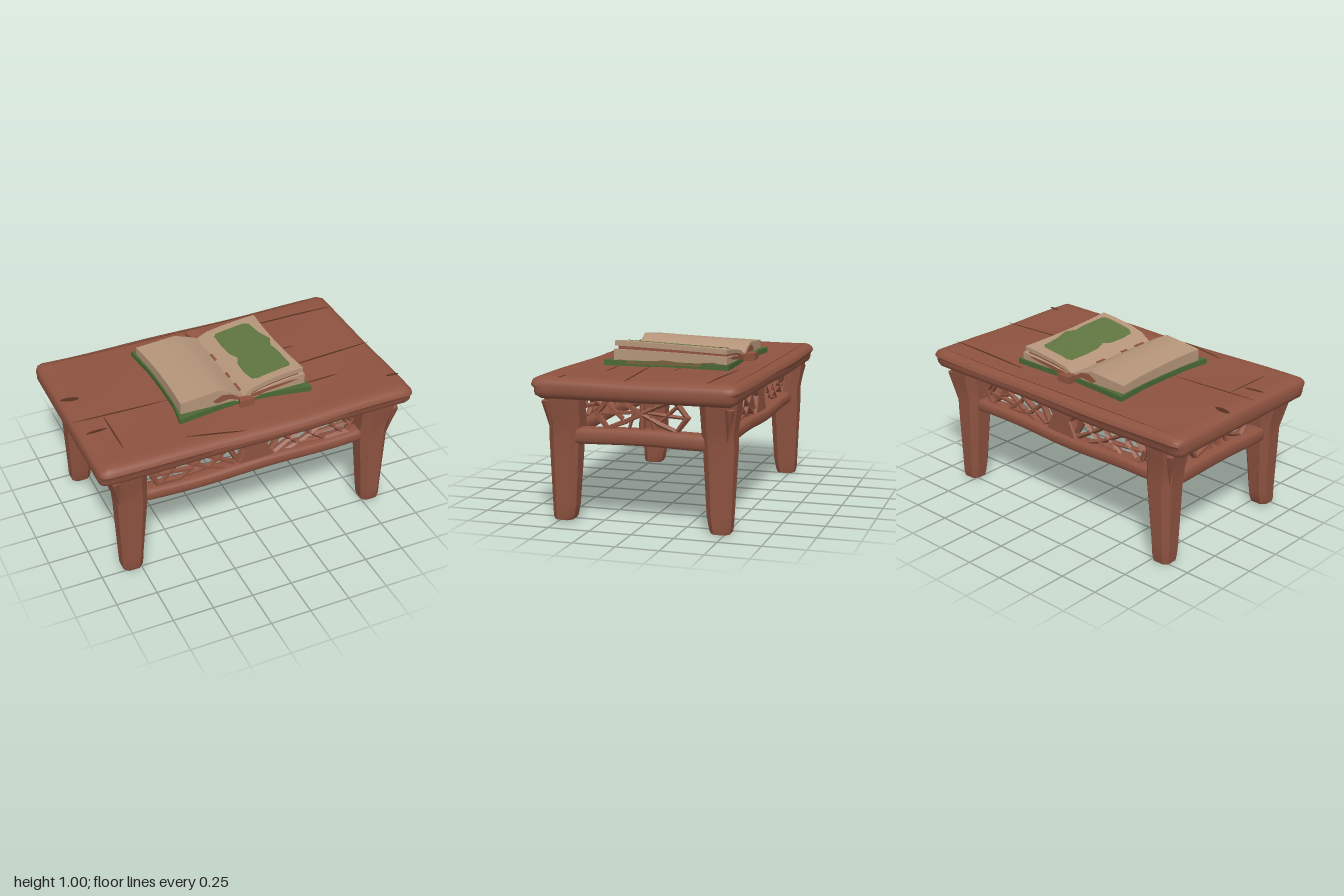
import * as THREE from 'three';
import { mergeGeometries, toCreasedNormals } from 'three/addons/utils/BufferGeometryUtils.js';

const mat = (name, color, side = THREE.FrontSide) => {
  const m = new THREE.MeshStandardMaterial({ color, side });
  m.name = name;
  return m;
};

// Moves every vertex by a rule, then recomputes soft normals with sharp creases
function bend(geometry, rule, crease = 0.75) {
  const p = geometry.attributes.position, v = new THREE.Vector3();
  for (let i = 0; i < p.count; i++) {
    rule(v.fromBufferAttribute(p, i));
    p.setXYZ(i, v.x, v.y, v.z);
  }
  geometry.computeVertexNormals();
  return toCreasedNormals(geometry, crease);
}

// Box with rounded edges and an uneven, hand-hewn surface
function beam(w, h, d, segs, r, warp) {
  const half = new THREE.Vector3(w / 2 - r, h / 2 - r, d / 2 - r), low = half.clone().negate(), c = new THREE.Vector3();
  return bend(new THREE.BoxGeometry(w, h, d, ...segs), v => {
    c.copy(v).clamp(low, half);
    v.sub(c).setLength(r).add(c);
    warp(v);
  });
}

// Chamfered-square column through rings of [y, x0, x1, z0, z1]
function column(rings) {
  const pos = [], idx = [], k = 0.55;
  const outline = [[1, -k], [1, k], [k, 1], [-k, 1], [-1, k], [-1, -k], [-k, -1], [k, -1]];
  for (const [y, x0, x1, z0, z1] of rings)
    for (const [a, b] of outline) pos.push((x0 + x1 + a * (x1 - x0)) / 2, y, (z0 + z1 + b * (z1 - z0)) / 2);
  for (let r = 0; r < rings.length - 1; r++)
    for (let i = 0; i < 8; i++) {
      const a = r * 8 + i, b = r * 8 + (i + 1) % 8;
      idx.push(a, a + 8, b, b, a + 8, b + 8);
    }
  const t = (rings.length - 1) * 8;
  for (let i = 1; i < 7; i++) idx.push(0, i, i + 1, t, t + i + 1, t + i);
  const g = new THREE.BufferGeometry();
  g.setAttribute('position', new THREE.Float32BufferAttribute(pos, 3));
  g.setIndex(idx);
  return toCreasedNormals(g, 0.7);
}

// Faceted stick between two points of a panel
function stick(x0, y0, x1, y1, r = 0.015) {
  const len = Math.hypot(x1 - x0, y1 - y0);
  const g = new THREE.CylinderGeometry(r * 0.8, r, len + r, 5);
  g.scale(1, 1, 1.5);
  g.rotateZ(Math.atan2(y1 - y0, x1 - x0) - Math.PI / 2);
  g.translate((x0 + x1) / 2, (y0 + y1) / 2, 0);
  return g;
}
const chain = (pts, r) => pts.slice(1).map((p, i) => stick(...pts[i], ...p, r));

// Height of the open pages across x, and their slope along z
const pageRise = [[-0.4, 0.962], [-0.28, 0.975], [-0.15, 0.988], [-0.06, 0.945], [0, 0.908],
  [0.06, 0.95], [0.15, 0.975], [0.28, 0.995], [0.4, 1.005]];
function riseAt(x) {
  const i = Math.max(1, pageRise.findIndex(p => p[0] >= x));
  const [a, b] = [pageRise[i - 1], pageRise[i]];
  return a[1] + (b[1] - a[1]) * (x - a[0]) / (b[0] - a[0]);
}
const slope = (y, z) => y - 0.03 * (0.31 - z) / 0.69 * THREE.MathUtils.clamp((y - 0.885) / 0.1, 0, 1);
const topY = (x, z) => 0.855 + 0.005 * Math.sin(3 * x - 1) + 0.003 * Math.sin(5 * x + 7 * z);

export function createModel() {
  const model = new THREE.Group();
  const wood = mat('wood', 0x8e5340), crackWood = mat('dark wood', 0x55301f, THREE.DoubleSide);
  const paper = mat('paper', 0xb5957a), coverGreen = mat('cover green', 0x4a6834);
  const inkGreen = mat('page green', 0x5f7540, THREE.DoubleSide), olive = mat('olive', 0x75623b, THREE.DoubleSide);
  const stain = mat('brown stain', 0x91543f, THREE.DoubleSide);
  const add = (name, geometry, material, parent = model) => {
    const m = new THREE.Mesh(geometry, material);
    m.name = name;
    parent.add(m);
    return m;
  };

  // Table top
  add('tableTop', beam(2, 0.126, 1.22, [40, 6, 28], 0.05, v => {
    if (v.y > 0) v.y += topY(v.x, v.z) - 0.063;
    else {
      v.y += 0.795 + 0.006 * Math.sin(2 * v.x);
      v.z *= 0.97;
    }
    v.z += 0.004 * Math.sin(6 * v.x);
  }), wood);

  // Plank seams and cracks: [x0, z0, x1, z1, width]
  const cracks = [[-0.99, 0.1, -0.4, 0.095, 0.012], [0.4, 0.085, 0.99, 0.04, 0.014], [0.35, -0.44, 0.97, -0.425, 0.016],
    [-0.8, 0.11, -0.8, 0.44, 0.01], [-0.98, -0.14, -0.87, -0.12, 0.04], [-0.44, 0.48, -0.1, 0.56, 0.014],
    [0.42, -0.11, 0.54, -0.105, 0.01], [0.4, 0.28, 0.65, 0.275, 0.012], [0.9, 0.42, 0.98, 0.43, 0.02],
    [-0.95, 0.23, -0.82, 0.22, 0.022], [-0.95, -0.55, 0.95, -0.56, 0.006], [-0.4, 0.098, 0.4, 0.087, 0.012]];
  for (const [x0, z0, x1, z1, w] of cracks) {
    const len = Math.hypot(x1 - x0, z1 - z0);
    add('plankCrack', bend(new THREE.PlaneGeometry(1, 1, 14, 1), v => {
      const t = v.x + 0.5, s = v.y * w * Math.sqrt(Math.max(0.02, 4 * t * (1 - t)));
      const x = x0 + (x1 - x0) * t + s * (z1 - z0) / len, z = z0 + (z1 - z0) * t - s * (x1 - x0) / len;
      v.set(x, topY(x, z) + 0.003, z);
    }), crackWood);
  }

  // Legs with flared tops and a splinter on the outer side
  for (const sx of [1, -1]) for (const sz of [1, -1]) {
    const foot = sz > 0 ? 0.012 : 0;
    const rings = [[foot, 0.745, 0.862, 0.415, 0.525], [0.03, 0.74, 0.866, 0.405, 0.532], [0.1, 0.735, 0.867, 0.392, 0.535],
      [0.48, 0.7, 0.878, 0.37, 0.55], [0.58, 0.695, 0.885, 0.362, 0.548], [0.68, 0.698, 0.908, 0.36, 0.565], [0.76, 0.69, 0.92, 0.355, 0.575]];
    add('leg', column(rings.map(([y, a, b, c, d]) => [y, ...(sx > 0 ? [a, b] : [-b, -a]), ...(sz > 0 ? [c, d] : [-d, -c])])), wood);
    const splinter = add('legSplinter', new THREE.ConeGeometry(0.03, 0.2, 5), wood);
    splinter.position.set(sx * 0.885, 0.62, sz * 0.53);
    splinter.rotation.set(Math.PI + sz * 0.1, 0, sx * 0.12);
  }

  // Lower rails
  for (const s of [1, -1]) {
    add('longRail', beam(1.5, 0.075, 0.11, [20, 4, 4], 0.025, v => {
      v.y += 0.522 + 0.012 * v.x * v.x + 0.01 * v.x + 0.006 * Math.sin(7 * v.x + s);
      v.z += s * 0.46;
    }), wood);
    add('shortRail', beam(0.12, 0.092, 0.86, [4, 4, 12], 0.028, v => {
      v.y += 0.513 + 0.004 * Math.cos(8 * v.z);
      v.x += s * 0.8;
    }), wood);
  }

  // Woven branch panels above the rails
  const longHalf = [
    ...chain([[0.12, 0.6], [0.17, 0.69], [0.28, 0.73], [0.45, 0.735], [0.6, 0.71], [0.65, 0.64], [0.62, 0.57], [0.48, 0.56]], 0.018),
    ...chain([[0.14, 0.57], [0.26, 0.64], [0.4, 0.73]], 0.016), ...chain([[0.2, 0.55], [0.33, 0.6], [0.47, 0.68], [0.6, 0.7]], 0.015),
    ...chain([[0.3, 0.73], [0.36, 0.64], [0.48, 0.55]], 0.014), ...chain([[0.5, 0.735], [0.51, 0.65], [0.6, 0.56]], 0.014),
    ...chain([[0.18, 0.68], [0.28, 0.59], [0.42, 0.57]], 0.015), stick(0.4, 0.61, 0.64, 0.63, 0.014), stick(0.56, 0.72, 0.64, 0.6, 0.014)];
  const knotShape = new THREE.Shape([[-0.13, 0.74], [-0.06, 0.66], [-0.11, 0.55], [0.12, 0.55], [0.07, 0.65], [0.14, 0.74]].map(p => new THREE.Vector2(...p)));
  const knot = new THREE.ExtrudeGeometry(knotShape, { depth: 0.04, bevelSize: 0.008, bevelThickness: 0.01, bevelSegments: 1 }).translate(0, 0, -0.02);
  const longPanel = toCreasedNormals(mergeGeometries([
    ...longHalf, ...longHalf.map(g => g.clone().rotateY(Math.PI))].map(g => g.toNonIndexed()).concat(knot)), 0.5);
  const shortHalf = [
    ...chain([[0.1, 0.74], [0.2, 0.73], [0.27, 0.64], [0.21, 0.56]], 0.018), ...chain([[0, 0.65], [0.1, 0.7], [0.18, 0.73]], 0.016),
    ...chain([[0, 0.65], [0.1, 0.6], [0.2, 0.56]], 0.016), ...chain([[0, 0.66], [0.12, 0.65], [0.25, 0.64]], 0.013),
    ...chain([[0.08, 0.74], [0.05, 0.65], [0.08, 0.55]], 0.011), stick(0.12, 0.62, 0.22, 0.71, 0.014)];
  const shortPanel = toCreasedNormals(mergeGeometries([
    stick(0, 0.55, 0, 0.745, 0.016), ...shortHalf, ...shortHalf.map(g => g.clone().rotateY(Math.PI))]), 0.5);
  for (const s of [1, -1]) {
    const long = add('longBranchPanel', longPanel, wood);
    long.position.z = s * 0.46;
    long.rotation.y = s > 0 ? 0 : Math.PI;
    const short = add('shortBranchPanel', shortPanel, wood);
    short.position.x = s * 0.8;
    short.rotation.y = s * Math.PI / 2;
  }

  // Open book: cover with pointed corners
  const book = new THREE.Group();
  book.name = 'openBook';
  model.add(book);
  const coverShape = new THREE.Shape([[-0.425, 0.42], [-0.2, 0.395], [0, 0.38], [0.2, 0.39], [0.43, 0.4], [0.405, 0.2], [0.4, 0],
    [0.405, -0.2], [0.42, -0.37], [0.2, -0.325], [0, -0.305], [-0.2, -0.325], [-0.425, -0.36], [-0.4, -0.2], [-0.395, 0], [-0.4, 0.2]]
    .reverse().map(p => new THREE.Vector2(...p)));
  add('bookCover', bend(new THREE.ExtrudeGeometry(coverShape, { depth: 0.032, bevelEnabled: false }).rotateX(-Math.PI / 2), v => {
    v.y += 0.856 + 0.05 * Math.max(0, Math.abs(v.x) - 0.3) * Math.abs(v.z);
  }, 0.5), coverGreen, book);

  // Page layers: from x0 to x1, between a floor and a drop below the page surface
  function pages(name, x0, x1, drop, thick, z0, z1, material) {
    const xs = [x0, ...pageRise.map(p => p[0]).filter(x => x > x0 && x < x1), x1];
    const upper = xs.map(x => new THREE.Vector2(x, Math.max(0.888, riseAt(x) - drop)));
    const lower = xs.map(x => new THREE.Vector2(x, thick ? riseAt(x) - drop - thick : 0.88)).reverse();
    const g = new THREE.ExtrudeGeometry(new THREE.Shape([...upper, ...lower]), { depth: z1 - z0, steps: 8, bevelEnabled: false });
    add(name, bend(g.translate(0, 0, z0), v => {
      v.x *= 0.965 + 0.35 * v.z * v.z;
      v.y = slope(v.y, v.z);
    }, 0.6), material, book);
  }
  pages('leftPages', -0.4, 0, 0, 0, -0.38, 0.31, paper);
  pages('rightPages', 0, 0.4, 0.05, 0, -0.385, 0.315, paper);
  pages('pageGap', 0, 0.365, 0.028, 0.024, -0.372, 0.3, stain);
  pages('rightTopPages', 0, 0.385, 0, 0.03, -0.38, 0.315, paper);

  // Painted patch lying on the right page: [z, left x, right x]
  const patch = [[-0.315, 0.1, 0.29], [-0.295, 0.08, 0.315], [-0.18, 0.075, 0.325], [-0.07, 0.08, 0.355], [0.0, 0.105, 0.325],
    [0.05, 0.08, 0.335], [0.15, 0.075, 0.335], [0.24, 0.085, 0.335], [0.262, 0.12, 0.32]];
  add('pagePatch', bend(new THREE.PlaneGeometry(1, patch.length - 1, 14, patch.length - 1), v => {
    const [z, a, b] = patch[Math.round((patch.length - 1) / 2 - v.y)];
    const x = a + (b - a) * (v.x + 0.5);
    v.set(x, slope(riseAt(x), z) + 0.005, z);
  }), inkGreen, book);

  // Stains on the page edges
  const plate = (name, pts, material) => add(name, new THREE.ShapeGeometry(new THREE.Shape(pts.map(p => new THREE.Vector2(...p)))), material, book);
  for (const z of [0.318, -0.388]) {
    const dy = z < 0 ? -0.012 : 0;
    plate('leftStain', [[-0.2, 0.925], [-0.14, 0.955], [-0.08, 0.945], [-0.02, 0.905], [-0.02, 0.885], [-0.09, 0.915], [-0.17, 0.905]], stain).position.set(0, dy, z);
    plate('rightStain', [[0.03, 0.89], [0.05, 0.912], [0.16, 0.925], [0.3, 0.935], [0.36, 0.93], [0.24, 0.912], [0.14, 0.9], [0.09, 0.888]], stain).position.set(0, dy, z);
  }
  const edge = plate('oliveEdge', [[-0.3, 0.87], [-0.28, 0.895], [-0.15, 0.885], [0, 0.9], [0.15, 0.886], [0.3, 0.9], [0.37, 0.885], [0.37, 0.87]], olive);
  edge.position.x = 0.408;
  edge.rotation.y = Math.PI / 2;

  // Spine ends and worn flecks in the gutter
  for (const [z, len] of [[0.335, 0.07], [-0.415, 0.085]]) {
    add('spineEnd', bend(new THREE.BoxGeometry(0.06, 0.045, len, 2, 1, 2), v => {
      const out = v.z * Math.sign(z) / len + 0.5;
      v.x *= 0.8 + 0.8 * out;
      v.y += 0.88 + 0.012 * out;
      v.z += z;
    }, 0.4), stain, book);
  }
  for (const [z, len] of [[-0.13, 0.07], [0.08, 0.05], [0.22, 0.08]])
    add('gutterFleck', new THREE.BoxGeometry(0.014, 0.008, len).translate(0.003, slope(0.912, z), z), stain, book);

  return model;
}
